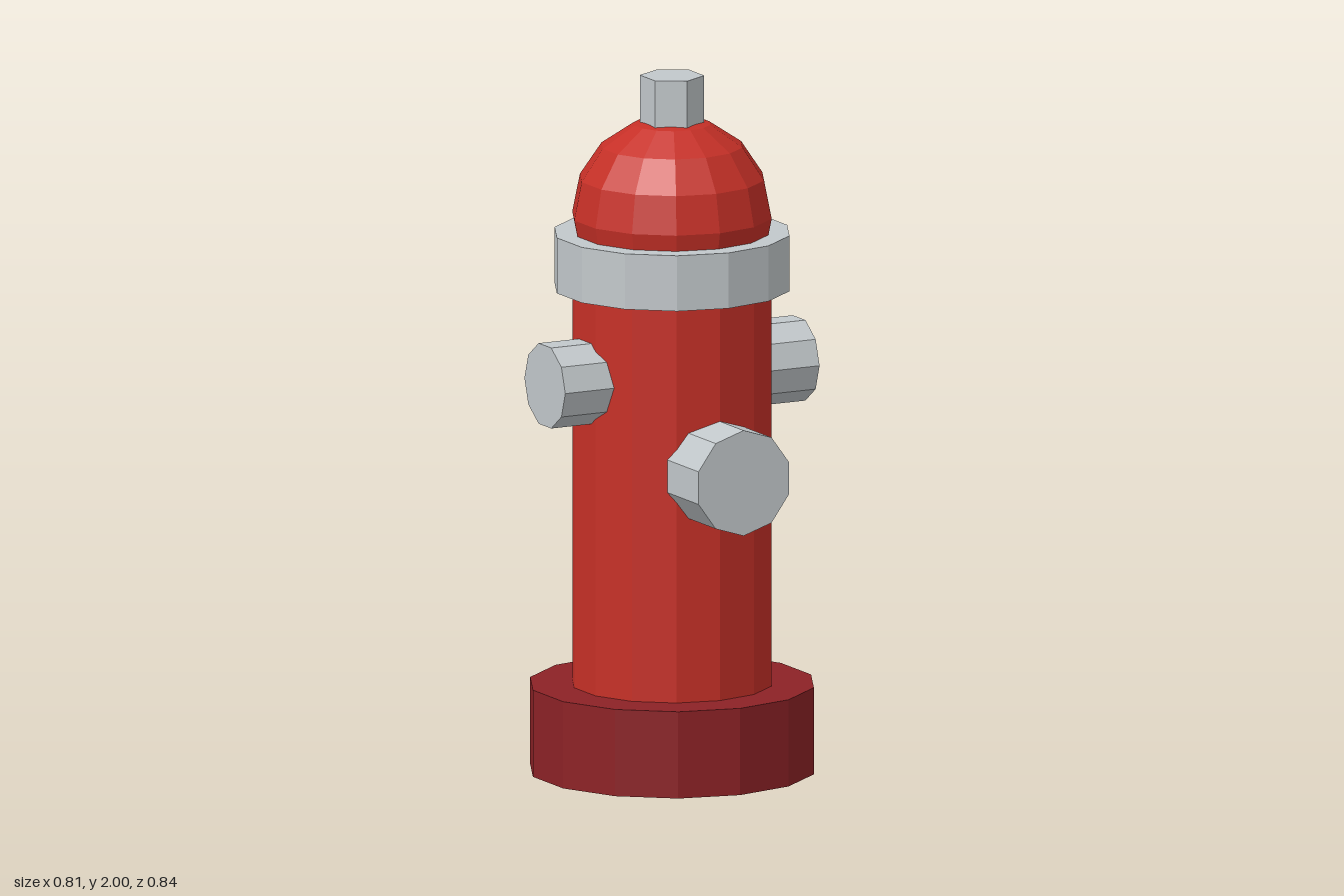
import * as THREE from 'three';

const AXIS_Z = -0.011; // centre line of the barrel
const SIDES = 14;

export function createModel() {
  const model = new THREE.Group();
  model.name = 'fireHydrant';

  const paint = (name, color) => {
    const m = new THREE.MeshStandardMaterial({ color, flatShading: true });
    m.name = name;
    return m;
  };
  const red = paint('red', 0xc63027);
  const darkRed = paint('darkRed', 0x8c2226);
  const metal = paint('metal', 0xc2c8cb);

  const add = (name, geometry, material, x, y, z) => {
    const mesh = new THREE.Mesh(geometry, material);
    mesh.name = name;
    mesh.position.set(x, y, z);
    model.add(mesh);
    return mesh;
  };

  // Upright prism between two heights
  const column = (name, radius, bottom, top, sides, material) =>
    add(name, new THREE.CylinderGeometry(radius, radius, top - bottom, sides),
      material, 0, (bottom + top) / 2, AXIS_Z);

  column('base', 0.407, 0, 0.25, SIDES, darkRed);
  column('barrel', 0.286, 0.2, 1.45, SIDES, red);
  column('collar', 0.337, 1.39, 1.55, SIDES, metal);

  // Domed cap, its facets lined up with the barrel
  const dome = new THREE.SphereGeometry(0.286, SIDES, 8).rotateY(Math.PI / 2);
  add('dome', dome, red, 0, 1.597, AXIS_Z);

  column('topNut', 0.091, 1.8, 2, 6, metal);

  // Side outlets, mirrored
  for (const side of [1, -1]) {
    const outlet = new THREE.CylinderGeometry(0.122, 0.122, 0.258, 10).rotateZ(Math.PI / 2);
    add(side > 0 ? 'leftOutlet' : 'rightOutlet', outlet, metal, side * 0.278, 1.145, AXIS_Z);
  }

  // Large front outlet
  const front = new THREE.CylinderGeometry(0.152, 0.152, 0.286, 10).rotateX(Math.PI / 2);
  add('frontOutlet', front, metal, 0, 0.903, 0.274);

  return model;
}
